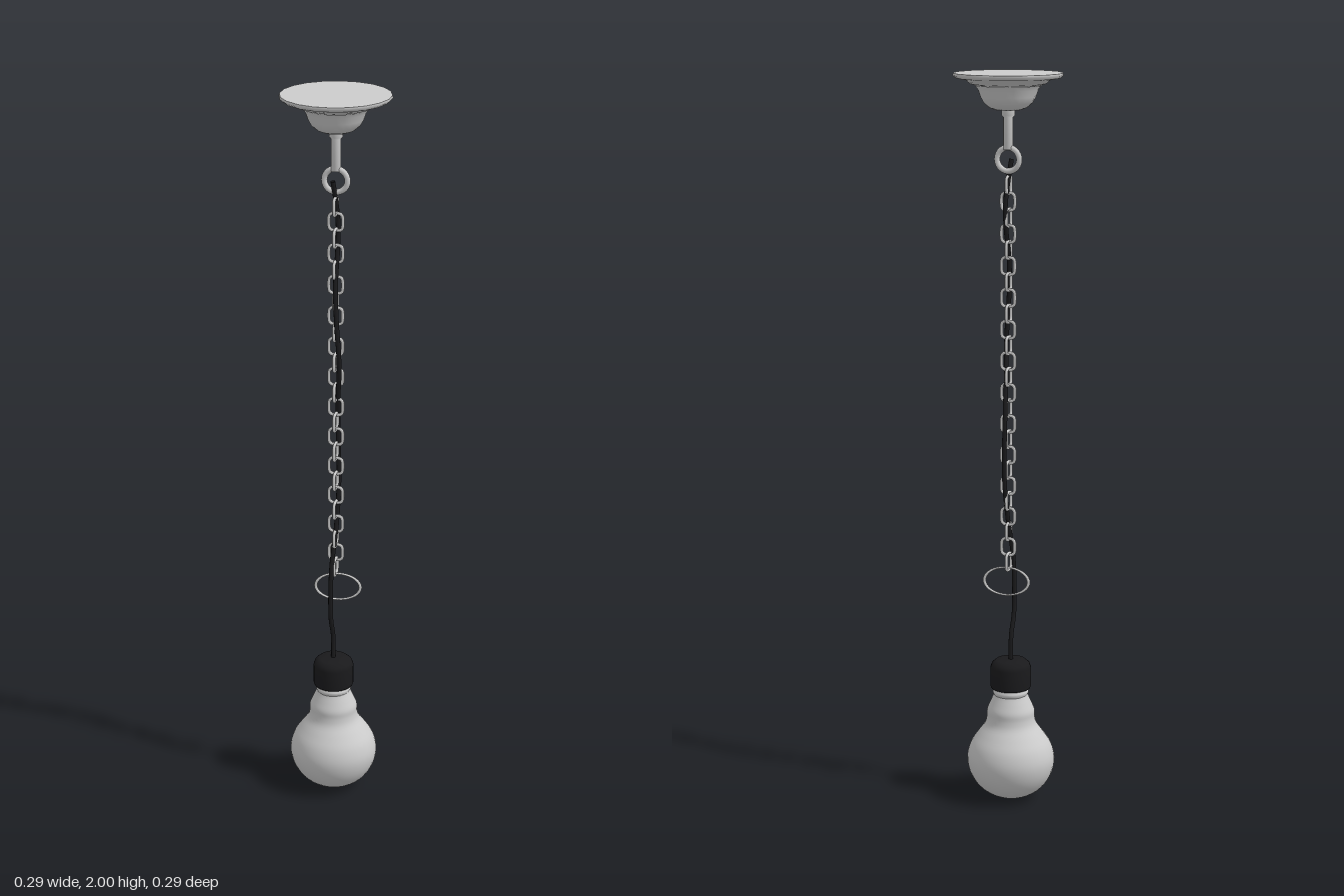
import * as THREE from 'three';

const grey = new THREE.MeshStandardMaterial({ color: 0xcccccc, side: THREE.DoubleSide });
const black = new THREE.MeshStandardMaterial({ color: 0x1a1a1c, side: THREE.DoubleSide });

function add(parent, name, geometry, material, x = 0, y = 0, z = 0) {
  const mesh = new THREE.Mesh(geometry, material);
  mesh.name = name;
  mesh.position.set(x, y, z);
  parent.add(mesh);
  return mesh;
}

// Turned part from [radius, height] pairs, bottom to top
function turned(points, sides, start = 0) {
  return new THREE.LatheGeometry(points.map(([r, y]) => new THREE.Vector2(r, y)), sides, start);
}

// Closed rounded-square chain link lying in the xy plane
function linkGeometry(halfW, halfH, wire) {
  const points = [];
  for (let i = 0; i < 24; i++) {
    const a = (i / 24) * Math.PI * 2;
    const c = Math.cos(a), s = Math.sin(a);
    const k = Math.pow(c ** 4 + s ** 4, -0.25);
    points.push(new THREE.Vector3(c * k * halfW, s * k * halfH, 0));
  }
  const path = new THREE.CatmullRomCurve3(points, true);
  return new THREE.TubeGeometry(path, 24, wire, 6, true);
}

export function createModel() {
  const model = new THREE.Group();
  model.name = 'pendantLamp';

  // Ceiling canopy: flat plate, stepped rim and rounded cup
  const canopy = new THREE.Group();
  canopy.name = 'canopy';
  model.add(canopy);
  add(canopy, 'ceilingPlate', turned([
    [0.085, 1.968], [0.1, 1.972], [0.112, 1.982], [0.138, 1.987], [0.146, 1.994], [0.144, 2],
  ], 20, Math.PI / 20), grey);
  const top = add(canopy, 'plateTop', new THREE.CircleGeometry(0.144, 20, Math.PI / 20), grey, 0, 2, 0);
  top.rotation.x = -Math.PI / 2;
  add(canopy, 'cup', turned([
    [0, 1.903], [0.035, 1.904], [0.05, 1.91], [0.064, 1.922], [0.073, 1.938], [0.079, 1.956], [0.088, 1.968],
  ], 24), grey);

  // Stem and hanging eye
  add(model, 'stem', turned([
    [0, 1.8], [0.013, 1.8], [0.013, 1.885], [0.018, 1.89], [0.018, 1.91],
  ], 14), grey);
  add(model, 'hangingEye', new THREE.TorusGeometry(0.031, 0.008, 10, 28), grey, 0, 1.775, 0);

  // Chain: every second link is turned a quarter
  const chain = new THREE.Group();
  chain.name = 'chain';
  model.add(chain);
  const link = linkGeometry(0.019, 0.023, 0.0045);
  for (let i = 0; i < 25; i++) {
    const mesh = add(chain, 'chainLink', link, grey, 0, 1.707 - i * 0.0428, i % 2 ? 0 : 0.004);
    mesh.rotation.y = i % 2 ? 0 : Math.PI / 2;
  }

  // Oval ring at the chain's end
  const oval = add(model, 'endRing', new THREE.TorusGeometry(0.062, 0.0045, 8, 36), grey, 0.008, 0.622, 0.008);
  oval.scale.y = 0.63;
  oval.rotation.y = 0.12;

  // Cord winding loosely about the chain
  const cord = new THREE.CatmullRomCurve3([
    [-0.005, 1.775, 0.012], [0, 1.72, 0], [0.002, 1.66, -0.015], [0.003, 1.6, -0.01],
    [0.004, 1.5, 0.02], [0.01, 1.4, 0.034], [0.017, 1.31, 0.037], [0.015, 1.25, 0.026],
    [0.006, 1.18, 0], [0, 1.1, -0.024], [0.003, 0.92, -0.022], [0.002, 0.81, 0],
    [-0.006, 0.68, 0.026], [-0.008, 0.53, 0.025], [-0.006, 0.47, 0.008], [-0.005, 0.39, 0.007],
  ].map((p) => new THREE.Vector3(...p)));
  add(model, 'cord', new THREE.TubeGeometry(cord, 120, 0.0065, 8), black);

  // Socket with a bevelled top
  add(model, 'socket', turned([
    [0.046, 0.322], [0.054, 0.32], [0.056, 0.325], [0.056, 0.378], [0.052, 0.39], [0.04, 0.4], [0, 0.402],
  ], 28), black, -0.005, 0, 0.007);

  // Bulb: threaded neck, shoulder bulge and round globe
  const neck = [[0.044, 0.34], [0.044, 0.318], [0.049, 0.312], [0.049, 0.306], [0.046, 0.3]].reverse();
  add(model, 'bulbNeck', turned(neck, 28), grey, -0.005, 0, 0.007);
  const profile = new THREE.SplineCurve([
    [0, 0], [0.045, 0.008], [0.085, 0.032], [0.112, 0.07], [0.122, 0.114], [0.113, 0.155],
    [0.092, 0.188], [0.073, 0.214], [0.067, 0.235], [0.066, 0.256], [0.057, 0.278], [0.047, 0.302], [0.046, 0.32],
  ].map((p) => new THREE.Vector2(...p)));
  const bulb = add(model, 'bulb', new THREE.LatheGeometry(profile.getPoints(48), 36), grey, -0.005, 0, 0.008);
  bulb.scale.z = 0.94;

  return model;
}
